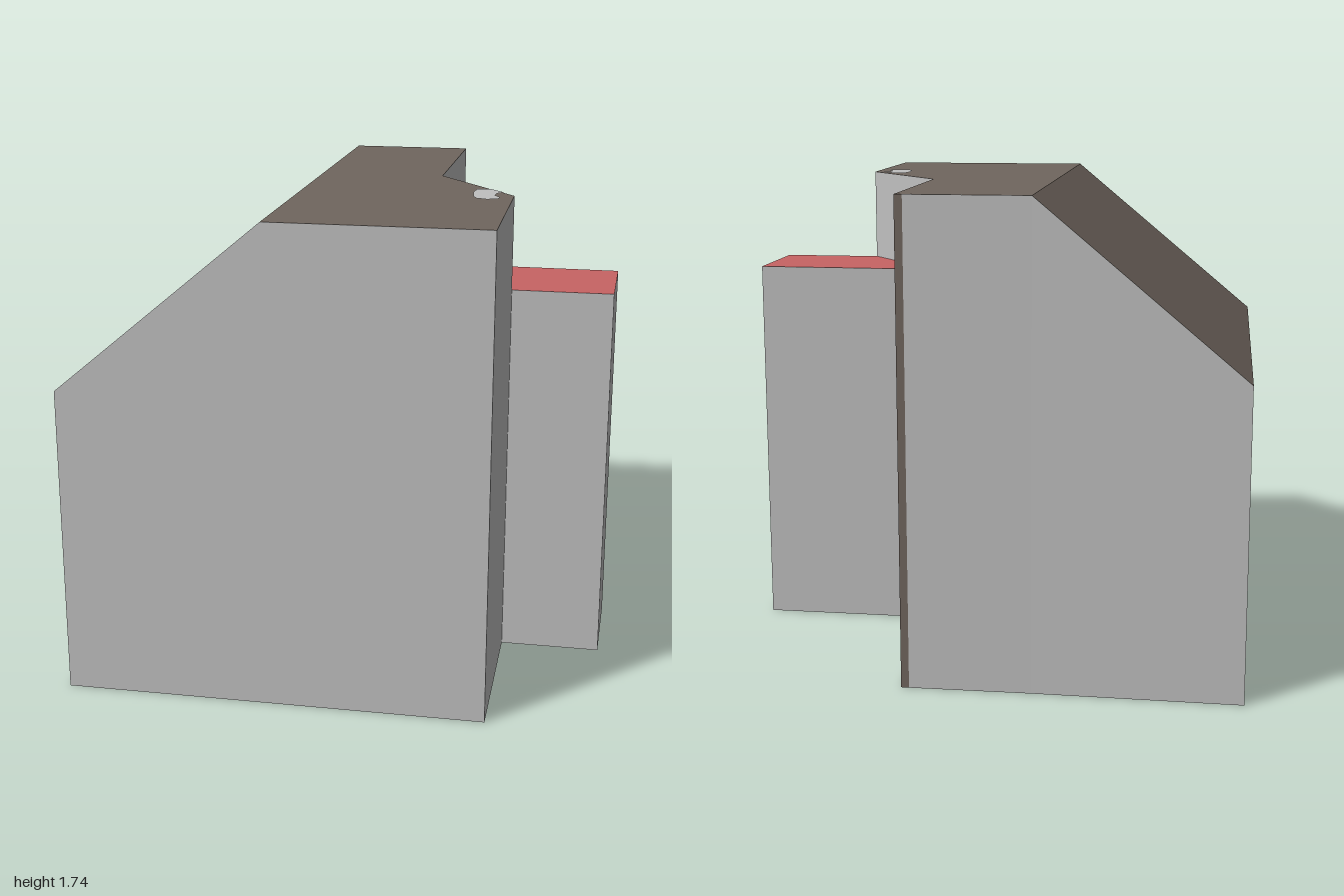
import * as THREE from 'three';

const wallGrey = new THREE.MeshStandardMaterial({ color: 0xc0c0c0 });
wallGrey.name = 'wallGrey';
const roofBrown = new THREE.MeshStandardMaterial({ color: 0x70665e });
roofBrown.name = 'roofBrown';
const annexRed = new THREE.MeshStandardMaterial({ color: 0xc86464 });
annexRed.name = 'annexRed';

const EAVE = 1.12, RIDGE = 1.737, ANNEX = 1.395;

// Footprint corners: x, z and wall height, counter-clockwise from above
const backEave = [-0.772, -0.995, EAVE], frontEave = [-1, 0.795, EAVE];
const frontRidge = [-0.265, 0.89, RIDGE], frontCorner = [0.503, 0.99, RIDGE];
const notchFront = [0.582, 0.346, RIDGE], notchBack = [0.325, -0.092, RIDGE];
const backCorner = [0.42, -0.827, RIDGE], trimEdge = [0.392, -0.831, RIDGE];
const backRidge = [-0.04, -0.886, RIDGE];
const annexFront = [0.945, 0.393, ANNEX], annexBack = [0.997, 0.003, ANNEX];

// Flat-shaded mesh from a list of triangles
function mesh(name, triangles, material) {
  const geometry = new THREE.BufferGeometry();
  geometry.setAttribute('position', new THREE.Float32BufferAttribute(triangles.flat(2), 3));
  geometry.computeVertexNormals();
  const m = new THREE.Mesh(geometry, material);
  m.name = name;
  return m;
}

// Upright wall panels between successive corners, each as high as its corners
function walls(corners, height) {
  return corners.slice(1).flatMap((q, i) => {
    const p = corners[i];
    const a = [p[0], 0, p[1]], b = [q[0], 0, q[1]];
    const c = [q[0], height ?? q[2], q[1]], d = [p[0], height ?? p[2], p[1]];
    return [[a, b, c], [a, c, d]];
  });
}

// Polygon seen from above (or below), triangulated in plan
function cap(corners, height, down = false) {
  const plan = corners.map(([x, z]) => new THREE.Vector2(x, -z));
  return THREE.ShapeUtils.triangulateShape(plan, []).map((t) => {
    const tri = t.map((i) => [corners[i][0], height ?? corners[i][2], corners[i][1]]);
    return down ? tri.reverse() : tri;
  });
}

export function createModel() {
  const model = new THREE.Group();
  model.name = 'house';

  // Main block
  const ring = [trimEdge, backRidge, backEave, frontEave, frontRidge, frontCorner, notchFront, notchBack, backCorner];
  model.add(mesh('mainWalls', walls(ring), wallGrey));
  model.add(mesh('cornerTrim', walls([backCorner, trimEdge]), roofBrown));
  model.add(mesh('mainFloor', cap(ring, 0, true), wallGrey));

  // Roof: one slope and a flat top
  model.add(mesh('roofSlope', cap([backEave, frontEave, frontRidge, backRidge]), roofBrown));
  model.add(mesh('roofTop', cap([frontRidge, frontCorner, notchFront, notchBack, backCorner, backRidge]), roofBrown));

  // Pale bare patch at the roof edge
  const patch = [
    [0.452, 0.22], [0.438, 0.29], [0.436, 0.38], [0.447, 0.42], [0.484, 0.44], [0.522, 0.425],
    [0.53, 0.395], [0.513, 0.355], [0.52, 0.315], [0.546, 0.29], [0.528, 0.26], [0.5, 0.22],
  ];
  model.add(mesh('roofPatch', cap(patch, RIDGE + 0.003), wallGrey));

  // Side annex
  const annex = [notchBack, notchFront, annexFront, annexBack];
  model.add(mesh('annexWalls', walls([notchFront, annexFront, annexBack, notchBack], ANNEX), wallGrey));
  model.add(mesh('annexRoof', cap(annex, ANNEX), annexRed));
  model.add(mesh('annexFloor', cap(annex, 0, true), wallGrey));

  return model;
}
